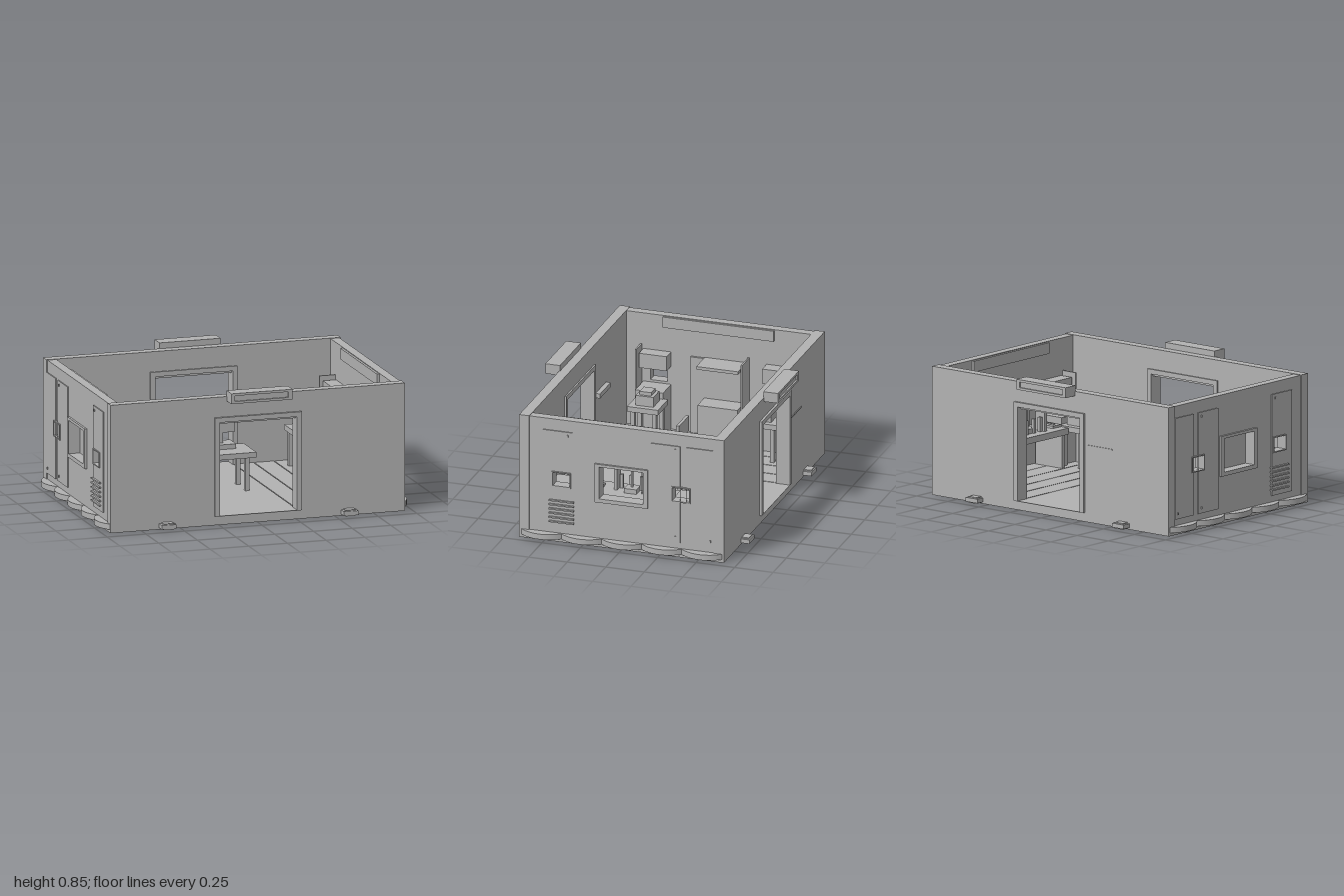
import * as THREE from 'three';

const wallGray = new THREE.MeshStandardMaterial({ color: 0xb2b2b2 });
wallGray.name = 'wall gray';

// Box given by its limits on each axis, in either order
function box(parent, name, x0, x1, y0, y1, z0, z1) {
  const g = new THREE.BoxGeometry(Math.abs(x1 - x0), Math.abs(y1 - y0), Math.abs(z1 - z0));
  const m = new THREE.Mesh(g, wallGray);
  m.position.set((x0 + x1) / 2, (y0 + y1) / 2, (z0 + z1) / 2);
  m.name = name;
  parent.add(m);
  return m;
}

// Plate with rectangular holes; rectangles are [u0, u1, v0, v1]
function plate([u0, u1, v0, v1], holes, depth) {
  const outline = (a, b, c, d) => [[a, c], [b, c], [b, d], [a, d]].map(p => new THREE.Vector2(...p));
  const shape = new THREE.Shape(outline(u0, u1, v0, v1));
  for (const h of holes) shape.holes.push(new THREE.Path(outline(...h)));
  return new THREE.ExtrudeGeometry(shape, { depth, bevelEnabled: false });
}

// Plate across z, from z0 towards +z
function zPlate(parent, name, rect, holes, z0, z1) {
  const m = new THREE.Mesh(plate(rect, holes, z1 - z0).translate(0, 0, z0), wallGray);
  m.name = name;
  parent.add(m);
}

// Plate across x on side s, limits measured outward from the middle
function xPlate(parent, name, s, rect, holes, a, b) {
  const g = plate(rect, holes, b - a).rotateY(-Math.PI / 2);
  g.translate(s > 0 ? b : -a, 0, 0);
  const m = new THREE.Mesh(g, wallGray);
  m.name = name;
  parent.add(m);
}

function floor(root) {
  const g = new THREE.Group();
  g.name = 'floor';
  box(g, 'floorSlab', -0.95, 0.95, 0, 0.052, -0.66, 0.66);
  // Planks with narrow gaps
  const seams = [-0.9, -0.78, -0.65, -0.52, -0.39, -0.26, 0.26, 0.39, 0.52, 0.65, 0.78, 0.9];
  for (let i = 0; i < seams.length - 1; i++) {
    box(g, 'floorPlank', seams[i] + 0.003, seams[i + 1] - 0.003, 0.05, 0.06, -0.62, 0.62);
  }
  // Scalloped skirts under both side walls
  const r = 0.194, half = Math.asin(0.13 / r);
  for (const s of [-1, 1]) {
    for (let i = -2; i <= 2; i++) {
      const geo = new THREE.CylinderGeometry(r, r, 0.035, 16, 1, false, s * Math.PI / 2 - half, half * 2);
      const m = new THREE.Mesh(geo, wallGray);
      m.name = 'scallopSkirt';
      m.position.set(s * (1 - r), 0.0375, i * 0.26);
      g.add(m);
    }
  }
  root.add(g);
}

function doorWall(root, s) {
  const g = new THREE.Group();
  g.name = s > 0 ? 'frontWall' : 'backWall';
  const span = (a, b) => (s > 0 ? [a, b] : [-b, -a]);
  const hole = [-0.25, 0.25, 0.06, 0.65];
  zPlate(g, 'wallPanel', [-0.95, 0.95, 0.002, 0.808], [hole], ...span(0.6, 0.665));
  zPlate(g, 'doorFrame', [-0.28, 0.28, 0.058, 0.68], [hole], ...span(0.59, 0.68));
  box(g, 'doorTrack', -0.25, 0.25, 0.635, 0.65, s * 0.61, s * 0.65);
  // Hollow lamp box over the doorway
  zPlate(g, 'lampHousing', [-0.2, 0.195, 0.78, 0.845], [[-0.175, 0.17, 0.795, 0.83]], ...span(0.66, 0.755));
  box(g, 'lampFace', -0.18, 0.175, 0.79, 0.835, s * 0.66, s * 0.745);
  // Feet clamped to the base
  for (const x of [-0.59, 0.585]) {
    box(g, 'foot', x - 0.047, x + 0.047, 0.012, 0.038, s * 0.65, s * 0.72);
    box(g, 'footPad', x - 0.032, x + 0.032, 0.006, 0.045, s * 0.65, s * 0.712);
  }
  root.add(g);
}

function sideWall(root, s) {
  const g = new THREE.Group();
  g.name = s > 0 ? 'leftWall' : 'rightWall';
  const windowHole = [-0.14, 0.145, 0.32, 0.53];
  const port = z => [z - 0.055, z + 0.055, 0.37, 0.456];
  const ports = [port(0.39), port(-0.385)];
  xPlate(g, 'wallPanel', s, [-0.605, 0.605, 0.055, 0.805], [windowHole, ...ports], 0.885, 0.943);
  // Raised access panels
  const skin = [0.94, 0.95];
  xPlate(g, 'servicePanel', s, [0.32, 0.51, 0.095, 0.73], [ports[0]], ...skin);
  xPlate(g, 'lockerPanel', s, [-0.38, -0.19, 0.095, 0.73], [[-0.38 + 0.001, -0.33, 0.37, 0.456]], ...skin);
  xPlate(g, 'lockerPanel', s, [-0.595, -0.42, 0.095, 0.73], [[-0.44, -0.421, 0.37, 0.456]], ...skin);
  // Window and port frames
  xPlate(g, 'windowFrame', s, [-0.17, 0.175, 0.295, 0.548], [windowHole], 0.935, 0.957);
  xPlate(g, 'innerWindowFrame', s, [-0.17, 0.175, 0.295, 0.548], [windowHole], 0.872, 0.89);
  for (const z of [0.39, -0.385]) {
    xPlate(g, 'portFrame', s, [z - 0.062, z + 0.062, 0.363, 0.463], [port(z)], 0.9, 0.957);
  }
  // Vent slats
  for (let i = 0; i < 6; i++) {
    box(g, 'ventSlat', s * 0.945, s * 0.963, 0.127 + i * 0.028, 0.136 + i * 0.028, 0.31, 0.47);
  }
  // Panel bolts
  for (const [y, z] of [[0.705, 0.35], [0.705, -0.35], [0.13, -0.35], [0.13, -0.575]]) {
    box(g, 'panelBolt', s * 0.945, s * 0.956, y - 0.007, y + 0.007, z - 0.004, z + 0.004);
  }
  // Inner lining
  box(g, 'innerRail', s * 0.87, s * 0.89, 0.73, 0.8, -0.36, 0.36);
  for (const z of [-0.4, 0.4]) {
    box(g, 'lowerConsole', s * 0.73, s * 0.89, 0.055, 0.355, z - 0.09, z + 0.09);
    box(g, 'upperConsole', s * 0.8, s * 0.89, 0.475, 0.57, z - 0.09, z + 0.09);
    box(g, 'consoleFin', s * 0.78, s * 0.89, 0.055, 0.6, z + Math.sign(z) * 0.1, z + Math.sign(z) * 0.11);
  }
  root.add(g);
}

// Small table with two pairs of legs
function table(parent, name, x, z, w, d, top) {
  const g = new THREE.Group();
  g.name = name;
  box(g, 'tableTop', x - w / 2, x + w / 2, top - 0.034, top, z - d / 2, z + d / 2);
  for (const i of [-1, 1]) for (const k of [-1, 1]) {
    const lx = x + i * w * 0.35, lz = z + k * d * 0.35;
    box(g, 'tableLeg', lx - 0.013, lx + 0.013, 0.055, top - 0.03, lz - 0.013, lz + 0.013);
  }
  parent.add(g);
  return g;
}

function furniture(root) {
  const g = new THREE.Group();
  g.name = 'furniture';
  // Central table with a screen
  const desk = table(g, 'centralTable', 0, -0.005, 0.34, 0.25, 0.305);
  box(desk, 'screenBase', -0.085, 0.082, 0.305, 0.335, -0.13, -0.01);
  box(desk, 'screenNeck', -0.014, 0.014, 0.33, 0.41, -0.08, -0.06);
  box(desk, 'screen', -0.095, 0.09, 0.4, 0.5, -0.078, -0.058);
  // Corner stands, each with a capped block
  for (const s of [-1, 1]) for (const z of [-0.385, 0.38]) {
    const x = s * 0.643;
    const stand = table(g, 'cornerStand', x, z, 0.19, 0.2, 0.315);
    box(stand, 'standBlock', x - 0.057, x + 0.057, 0.31, 0.38, z - 0.057, z + 0.057);
    box(stand, 'standCap', x - 0.04, x + 0.04, 0.375, 0.403, z - 0.038, z + 0.038);
  }
  // Cabinet closing off the right window
  box(g, 'cabinetBack', -0.885, -0.87, 0.055, 0.56, -0.18, 0.18);
  box(g, 'cabinetShelf', -0.88, -0.72, 0.545, 0.565, -0.18, 0.09);
  box(g, 'cabinetBase', -0.88, -0.74, 0.055, 0.3, -0.17, 0.09);
  box(g, 'cabinetFin', -0.88, -0.74, 0.3, 0.6, -0.2, -0.19);
  // Workbench with instruments along the left window
  box(g, 'workbench', 0.64, 0.885, 0.27, 0.31, -0.275, 0.27);
  for (const z of [-0.25, 0.24]) box(g, 'benchLeg', 0.66, 0.87, 0.055, 0.28, z - 0.012, z + 0.012);
  box(g, 'instrumentBox', 0.71, 0.79, 0.31, 0.34, -0.04, 0.04);
  box(g, 'instrumentMast', 0.745, 0.755, 0.33, 0.52, -0.005, 0.005);
  box(g, 'uprightPanel', 0.685, 0.76, 0.31, 0.48, 0.095, 0.115);
  box(g, 'buttonPlate', 0.7, 0.815, 0.31, 0.325, 0.19, 0.27);
  for (const x of [0.73, 0.757, 0.785]) box(g, 'button', x - 0.008, x + 0.008, 0.32, 0.335, 0.222, 0.238);
  for (const z of [-0.05, 0.02, 0.08]) box(g, 'canister', 0.7, 0.72, 0.31, 0.4, z - 0.01, z + 0.01);
  const tool = box(g, 'tiltedTool', 0.735, 0.8, 0.31, 0.37, -0.19, -0.16);
  tool.rotation.y = -0.7;
  box(g, 'toolRod', 0.765, 0.772, 0.31, 0.5, -0.073, -0.066);
  // Wall fittings
  box(g, 'wallBar', -0.5, -0.3, 0.478, 0.486, -0.67, -0.65);
  box(g, 'wallShelf', -0.5, -0.3, 0.45, 0.48, 0.57, 0.605);
  root.add(g);
}

export function createModel() {
  const root = new THREE.Group();
  root.name = 'openRoom';
  floor(root);
  for (const s of [-1, 1]) {
    doorWall(root, s);
    sideWall(root, s);
  }
  furniture(root);
  return root;
}
